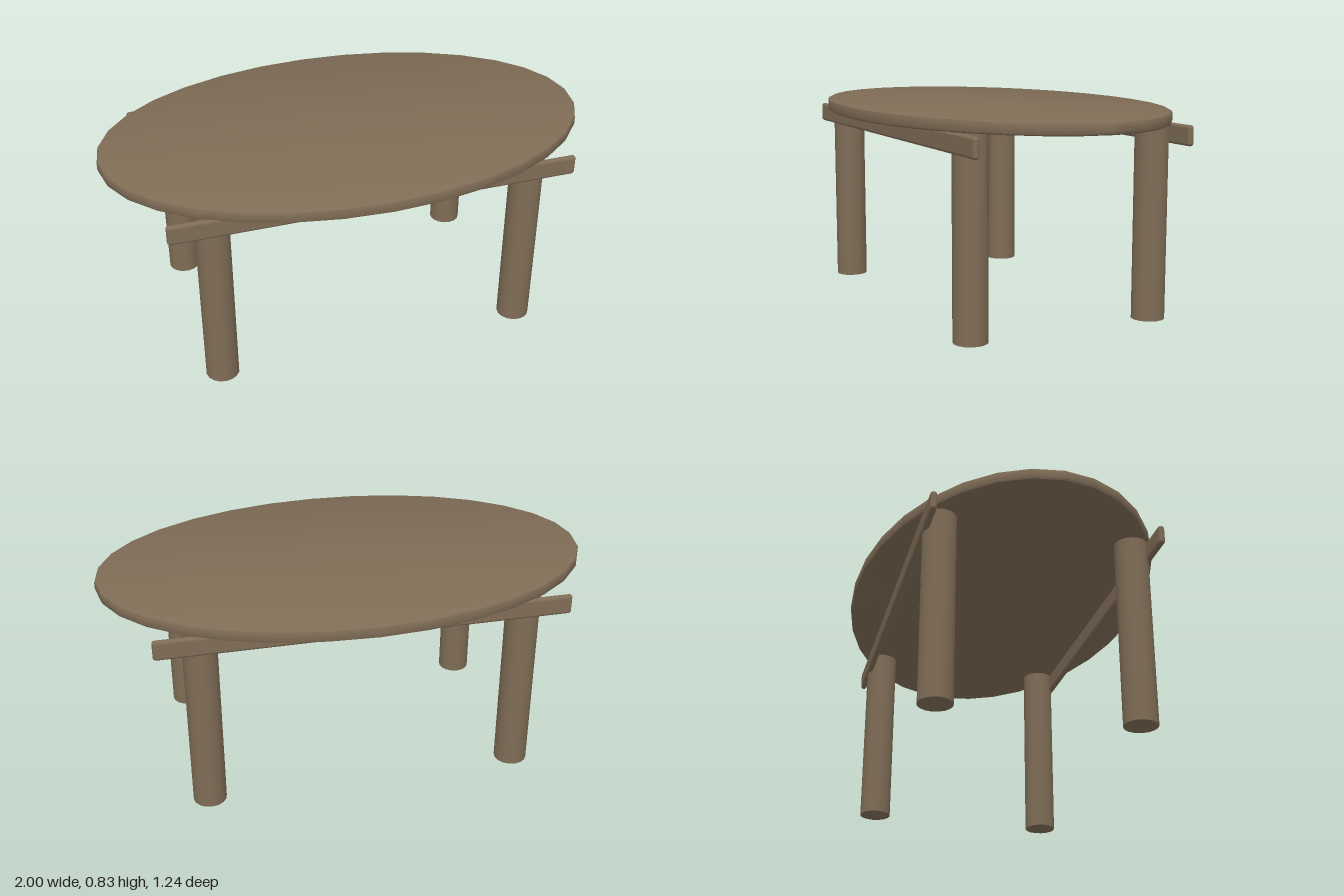
import * as THREE from 'three';
import { toCreasedNormals } from 'three/addons/utils/BufferGeometryUtils.js';
import { RoundedBoxGeometry } from 'three/addons/geometries/RoundedBoxGeometry.js';

export function createModel() {
  const group = new THREE.Group();
  const wood = new THREE.MeshStandardMaterial({ color: 0x7f6c56 });
  wood.name = 'brown wood';

  const add = (name, geometry, x, y, z) => {
    const mesh = new THREE.Mesh(geometry, wood);
    mesh.name = name;
    mesh.position.set(x, y, z);
    group.add(mesh);
  };

  // Oval tabletop with a softly rounded rim
  const profile = [
    [0, 0], [0.985, 0], [0.996, 0.004], [1, 0.012],
    [1, 0.038], [0.996, 0.046], [0.985, 0.05], [0, 0.05],
  ].map(([r, y]) => new THREE.Vector2(r, y));
  const top = new THREE.LatheGeometry(profile, 32);
  top.scale(1, 1, 0.62);
  add('tabletop', toCreasedNormals(top, 0.55), 0, 0.78, 0);

  // Four round legs and the two long rails outside them
  const leg = toCreasedNormals(new THREE.CylinderGeometry(0.067, 0.067, 0.78, 16), 0.5);
  const rail = new RoundedBoxGeometry(1.64, 0.08, 0.026, 3, 0.012);
  for (const [sz, end] of [[1, 'front'], [-1, 'back']]) {
    add(end + 'Rail', rail, 0, 0.739, sz * 0.449);
    for (const [sx, side] of [[1, 'Left'], [-1, 'Right']]) {
      add(end + side + 'Leg', leg, sx * 0.641, 0.39, sz * 0.39);
    }
  }
  return group;
}
